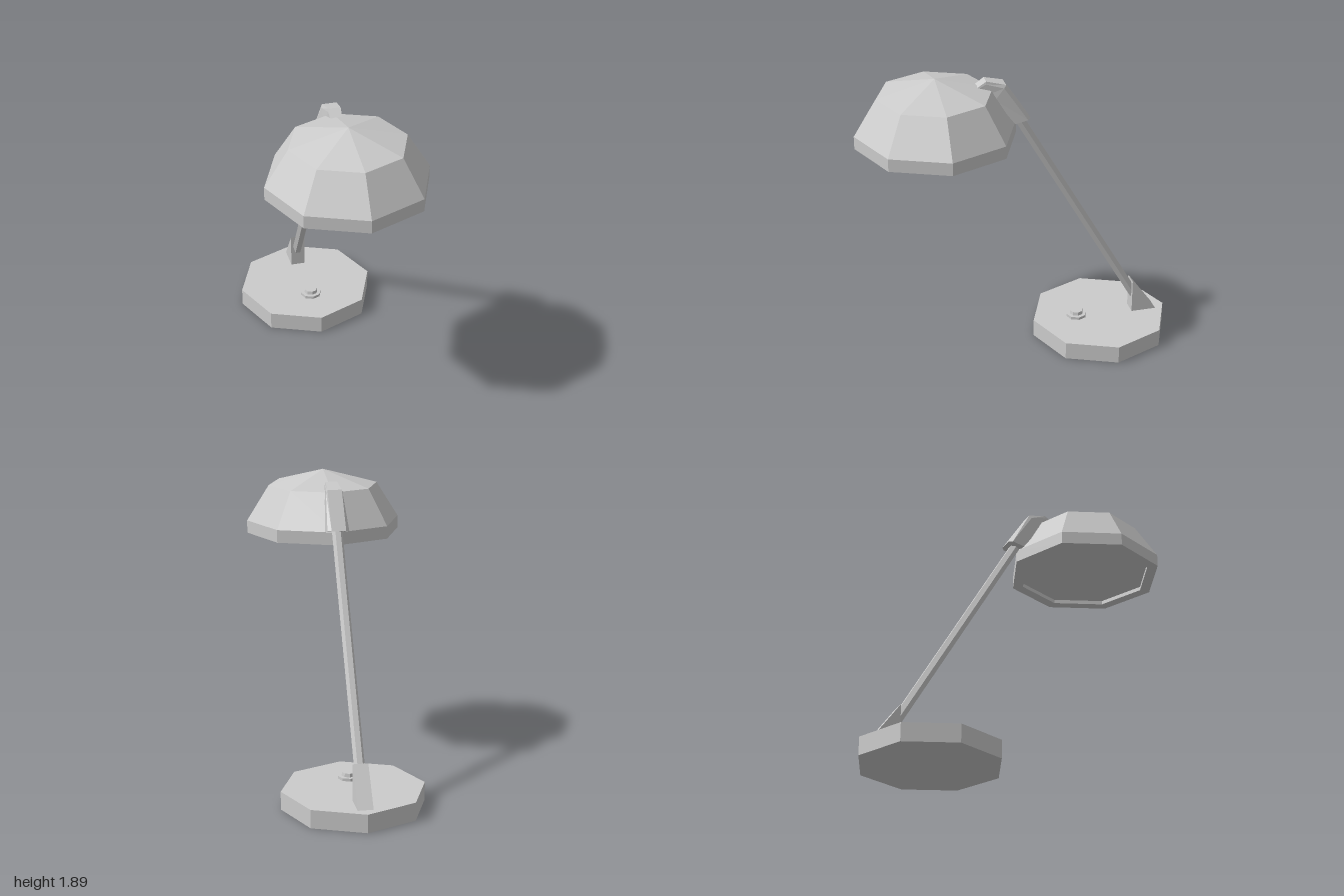
import * as THREE from 'three';

const material = new THREE.MeshStandardMaterial({ color: 0xcccccc, flatShading: true });

function addPart(group, name, geometry) {
  const mesh = new THREE.Mesh(geometry, material);
  mesh.name = name;
  group.add(mesh);
  return mesh;
}

// Upright prism standing between two heights
function prism(rTop, rBottom, y0, y1, z) {
  return new THREE.CylinderGeometry(rTop, rBottom, y1 - y0, 8).translate(0, (y0 + y1) / 2, z);
}

// Closed skin over a row of six-sided sections running from back to front
function loft(sections) {
  const positions = [];
  const indices = [];
  const n = 6;
  for (const { z, y, down, top, wide } of sections) {
    const ring = [[top, 0], [wide, 0.2], [wide, 1], [-wide, 1], [-wide, 0.2], [-top, 0]];
    for (const [x, t] of ring) positions.push(x, y + down[1] * t, z + down[0] * t);
  }
  for (let s = 0; s < sections.length - 1; s++) {
    for (let j = 0; j < n; j++) {
      const a = s * n + j, b = s * n + (j + 1) % n;
      indices.push(a, b + n, b, a, a + n, b + n);
    }
  }
  const last = (sections.length - 1) * n;
  for (let j = 1; j < n - 1; j++) {
    indices.push(0, j, j + 1, last, last + j + 1, last + j);
  }
  const geometry = new THREE.BufferGeometry();
  geometry.setAttribute('position', new THREE.Float32BufferAttribute(positions, 3));
  geometry.setIndex(indices);
  geometry.computeVertexNormals();
  return geometry;
}

export function createModel() {
  const lamp = new THREE.Group();
  lamp.name = 'deskLamp';

  // Octagonal base
  addPart(lamp, 'base', prism(0.445, 0.445, 0, 0.115, -0.555));

  // Switch: collar and button
  addPart(lamp, 'switchCollar', prism(0.068, 0.068, 0.11, 0.133, -0.4));
  addPart(lamp, 'switchButton', prism(0.041, 0.045, 0.13, 0.155, -0.4));

  // Wedge that holds the arm, profile drawn in z and y
  const wedge = new THREE.Shape([
    new THREE.Vector2(-0.935, 0.11),
    new THREE.Vector2(-0.768, 0.11),
    new THREE.Vector2(-0.768, 0.342),
  ]);
  const wedgeGeometry = new THREE.ExtrudeGeometry(wedge, { depth: 0.095, bevelEnabled: false });
  wedgeGeometry.translate(0, 0, -0.0475).rotateY(-Math.PI / 2);
  addPart(lamp, 'armFoot', wedgeGeometry);

  // Slanted hexagonal arm
  const start = new THREE.Vector3(0, 0.18, -0.817);
  const end = new THREE.Vector3(0, 1.7, 0.06);
  const arm = new THREE.CylinderGeometry(0.033, 0.033, start.distanceTo(end), 6);
  arm.rotateY(Math.PI / 6).rotateX(Math.atan2(end.z - start.z, end.y - start.y));
  arm.translate(0, (start.y + end.y) / 2, (start.z + end.z) / 2);
  addPart(lamp, 'arm', arm);

  // Bent bracket joining the arm to the shade
  addPart(lamp, 'shadeBracket', loft([
    { z: -0.07, y: 1.595, down: [0.1, -0.022], top: 0.045, wide: 0.068 },
    { z: 0.08, y: 1.825, down: [0.07, -0.09], top: 0.045, wide: 0.052 },
    { z: 0.2, y: 1.856, down: [0.01, -0.09], top: 0.037, wide: 0.04 },
    { z: 0.255, y: 1.818, down: [0, -0.05], top: 0.033, wide: 0.035 },
  ]));

  // Faceted shade with a shallow recess underneath
  const profile = [
    [0, 1.515], [0.425, 1.515], [0.425, 1.49], [0.495, 1.49],
    [0.495, 1.57], [0.353, 1.795], [0, 1.89],
  ].map(([r, y]) => new THREE.Vector2(r, y));
  addPart(lamp, 'shade', new THREE.LatheGeometry(profile, 8).translate(0, 0, 0.505));

  return lamp;
}
